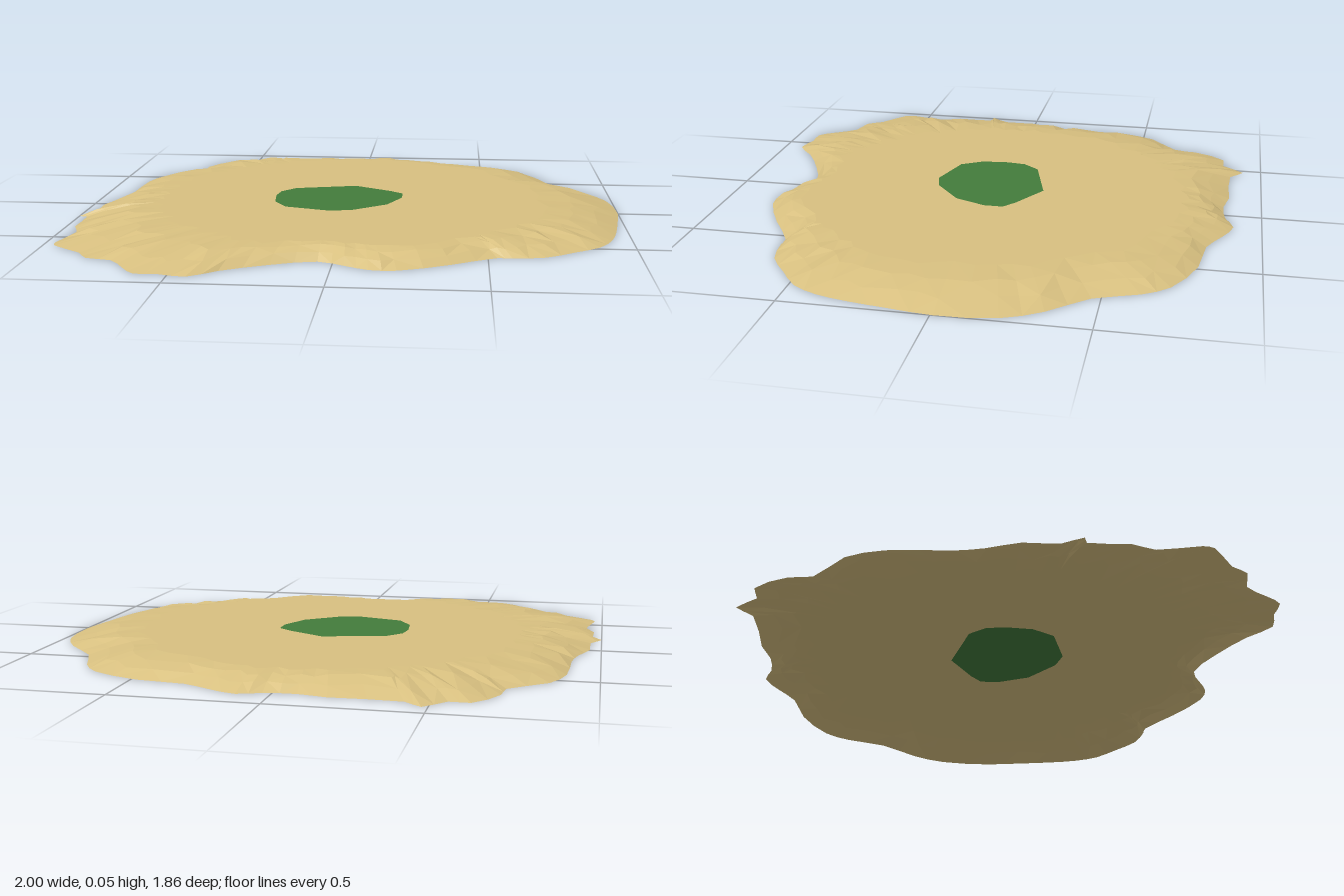
import * as THREE from 'three';

const HEIGHT = 0.047;

// Shoreline and green patch as x, z pairs, going from +x round through +z
const SHORE = [
  1, -.01, .98, .14, .96, .27, .93, .39, .88, .48, .79, .55, .69, .62, .58, .64, .53, .64,
  .38, .73, .21, .81, .12, .81, .04, .77, -.05, .73, -.20, .78, -.35, .86, -.44, .93,
  -.53, .91, -.61, .91, -.66, .85, -.72, .77, -.81, .75, -.85, .69, -.96, .61, -.97, .57,
  -.94, .43, -.97, .35, -.97, .21, -1, .20, -.96, .13, -.96, .01, -.92, -.10, -.90, -.20,
  -.89, -.41, -.84, -.54, -.71, -.65, -.70, -.73, -.62, -.85, -.55, -.85, -.48, -.93,
  -.42, -.88, -.18, -.88, -.08, -.86, .03, -.87, .11, -.90, .21, -.86, .31, -.81,
  .48, -.79, .66, -.71, .73, -.62, .79, -.47, .91, -.34, .98, -.21,
];
const PATCH = [
  .19, 0, .14, .115, .02, .21, -.06, .23, -.23, .18, -.28, .10,
  -.29, 0, -.28, -.07, -.23, -.13, 0, -.19, .14, -.11, .19, -.07,
];

function seeded(seed) {
  return () => {
    seed = (seed * 16807) % 2147483647;
    return seed / 2147483647;
  };
}

function toPoints(pairs) {
  const points = [];
  for (let i = 0; i < pairs.length; i += 2) points.push(new THREE.Vector3(pairs[i], 0, pairs[i + 1]));
  return points;
}

// Level sheet at the top height, facing up
function flatSheet(outline, hole) {
  const flat = (points) => points.map((p) => new THREE.Vector2(p.x, -p.z));
  const shape = new THREE.Shape(flat(outline));
  if (hole) shape.holes.push(new THREE.Path(flat(hole)));
  return new THREE.ShapeGeometry(shape).rotateX(-Math.PI / 2).translate(0, HEIGHT, 0);
}

// Faceted band joining closed rings, from the innermost outwards
function bands(rings) {
  const n = rings[0].length;
  const index = [];
  for (let r = 0; r < rings.length - 1; r++) {
    for (let i = 0; i < n; i++) {
      const j = (i + 1) % n;
      const a = r * n + i, a2 = r * n + j, b = a + n, b2 = a2 + n;
      if ((i + r) % 2) index.push(a, a2, b, a2, b2, b);
      else index.push(a, a2, b2, a, b2, b);
    }
  }
  const geometry = new THREE.BufferGeometry().setFromPoints(rings.flat());
  geometry.setIndex(index);
  const faceted = geometry.toNonIndexed();
  faceted.computeVertexNormals();
  return faceted;
}

export function createModel() {
  const group = new THREE.Group();
  const random = seeded(41);
  const jitter = (amount) => (random() - 0.5) * 2 * amount;

  const sand = new THREE.MeshStandardMaterial({ color: 0xd8c080, flatShading: true, side: THREE.DoubleSide });
  sand.name = 'sand';
  const grass = new THREE.MeshStandardMaterial({ color: 0x437c3c, flatShading: true, side: THREE.DoubleSide });
  grass.name = 'grass green';

  function add(name, geometry, material) {
    const mesh = new THREE.Mesh(geometry, material);
    mesh.name = name;
    group.add(mesh);
  }

  // Shoreline with extra points, then the plateau edge set in from it
  const base = toPoints(SHORE);
  const shore = new THREE.CatmullRomCurve3(base, true).getPoints(base.length * 2).slice(0, -1);
  const plateau = shore.map((p) => {
    const radius = Math.min(p.length() * 0.86, 0.72) + jitter(0.025);
    return p.clone().setLength(radius).setY(HEIGHT);
  });

  // Slope rings fall in a rounded, uneven profile
  const slopeRing = (t, height) => shore.map((p, i) => {
    const q = plateau[i].clone().lerp(p, t + jitter(0.08));
    return q.setY(height + jitter(0.004));
  });
  const rings = [plateau, slopeRing(0.35, 0.041), slopeRing(0.7, 0.024), shore];

  const patch = toPoints(PATCH);
  add('beachSlope', bands(rings), sand);
  add('sandPlateau', flatSheet(plateau, patch), sand);
  add('grassPatch', flatSheet(patch), grass);
  return group;
}
